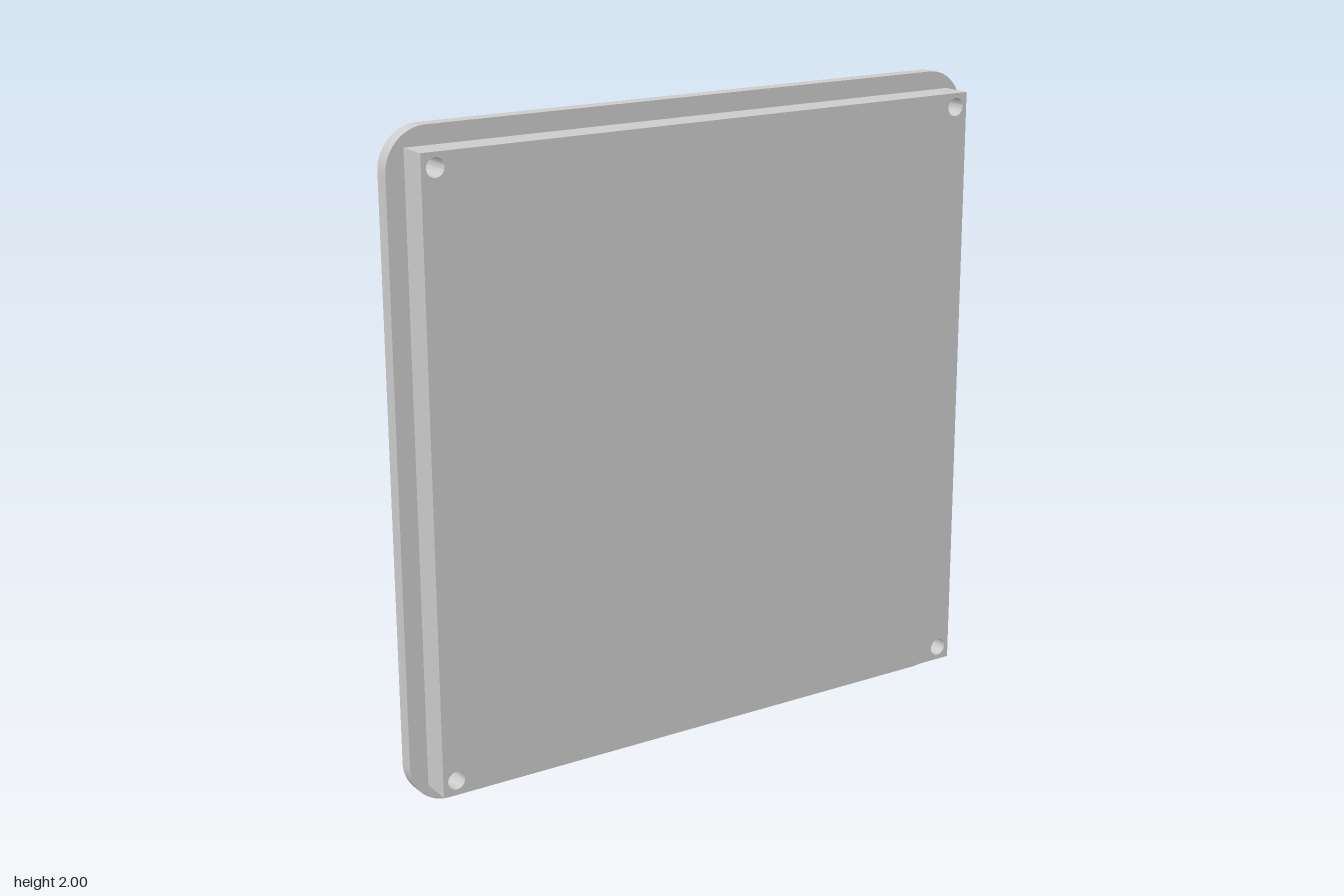
import * as THREE from 'three';
import { toCreasedNormals } from 'three/addons/utils/BufferGeometryUtils.js';

const HALF = 1, CORNER = 0.125;          // back plate outline
const BLOCK = 0.943;                     // half size of the front block
const HOLE_AT = 0.9, HOLE_R = 0.028, BORE_R = 0.05;
const BACK = -0.073, STEP = -0.025, FRONT = 0.073, SEAT = -0.049;

const holeCentres = [[-1, -1], [1, -1], [1, 1], [-1, 1]]
  .map(([sx, sy]) => [sx * HOLE_AT, sy * HOLE_AT]);

// Square outline, with rounded corners when r > 0
function square(h, r) {
  const s = new THREE.Shape();
  if (r === 0) {
    s.moveTo(-h, -h).lineTo(h, -h).lineTo(h, h).lineTo(-h, h).closePath();
    return s;
  }
  const c = h - r, q = Math.PI / 2;
  s.absarc(c, -c, r, -q, 0, false);
  s.absarc(c, c, r, 0, q, false);
  s.absarc(-c, c, r, q, 2 * q, false);
  s.absarc(-c, -c, r, 2 * q, 3 * q, false);
  s.closePath();
  return s;
}

function punch(shape, x, y, r) {
  shape.holes.push(new THREE.Path().absarc(x, y, r, 0, Math.PI * 2, true));
  return shape;
}

// Extrude a shape between two depths, smooth on arcs and sharp at edges
function slab(name, shape, z0, z1) {
  const geo = new THREE.ExtrudeGeometry(shape, { depth: z1 - z0, bevelEnabled: false, curveSegments: 16 });
  geo.translate(0, 1, z0);
  const mesh = new THREE.Mesh(toCreasedNormals(geo, 0.5),
    new THREE.MeshStandardMaterial({ color: 0xcccccc }));
  mesh.name = name;
  return mesh;
}

export function createModel() {
  const model = new THREE.Group();
  model.name = 'coverPlate';

  // Rounded back plate with wide screw recesses, and the square block before it
  const plate = square(HALF, CORNER), block = square(BLOCK, 0);
  for (const [x, y] of holeCentres) {
    punch(plate, x, y, BORE_R);
    punch(block, x, y, HOLE_R);
  }
  model.add(slab('backPlate', plate, BACK, STEP), slab('frontBlock', block, STEP, FRONT));

  // Ring at the bottom of each recess, where a screw head would sit
  for (const [x, y] of holeCentres) {
    const ring = new THREE.Shape().absarc(x, y, BORE_R, 0, Math.PI * 2, false);
    model.add(slab('screwSeat', punch(ring, x, y, HOLE_R), SEAT, STEP));
  }
  return model;
}
